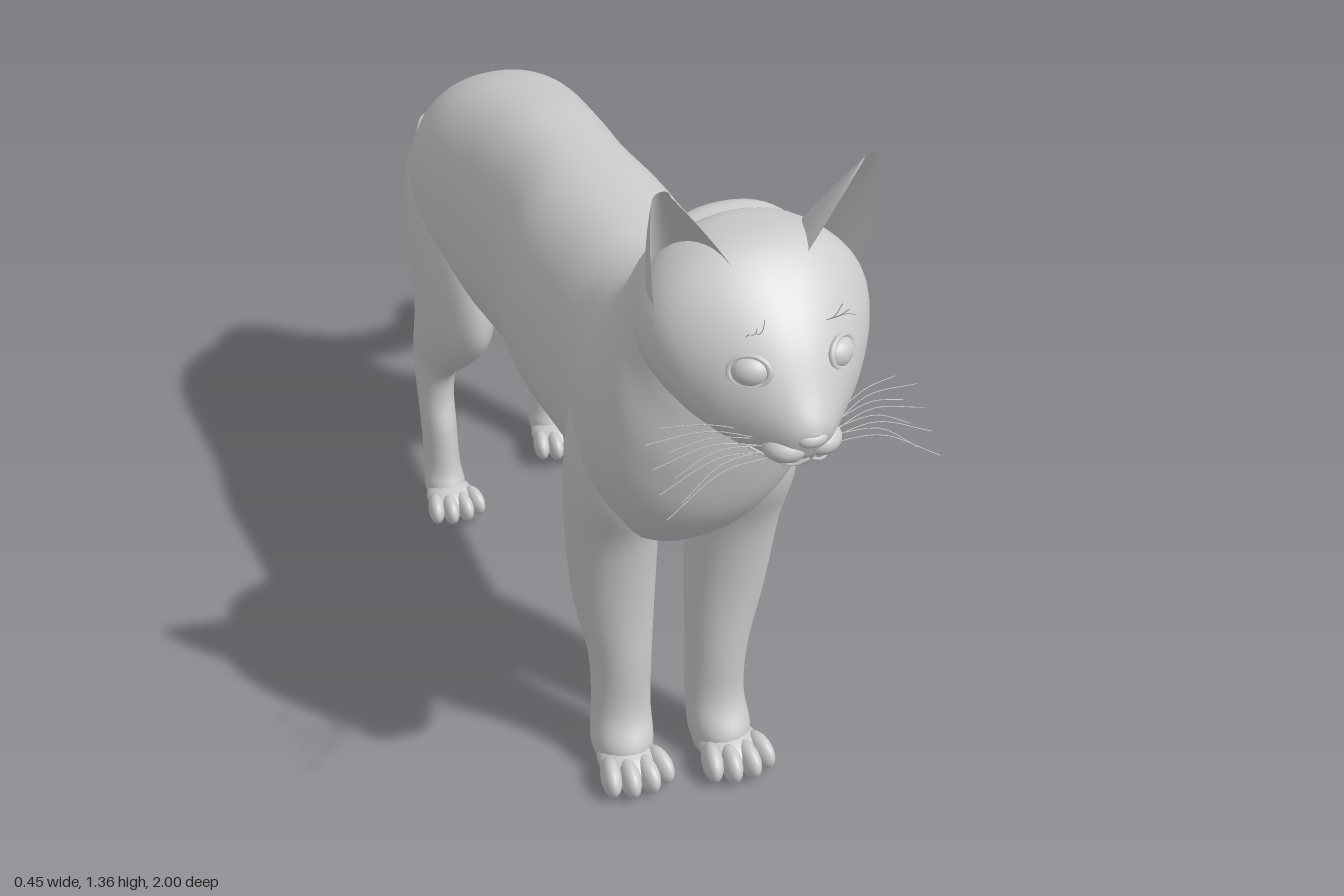
import * as THREE from 'three';

const material = new THREE.MeshStandardMaterial({ color: 0xcccccc });
const thinMaterial = new THREE.MeshStandardMaterial({ color: 0xcccccc, side: THREE.DoubleSide });
const V = (x, y, z) => new THREE.Vector3(x, y, z);

function add(parent, name, geometry, mat = material) {
  const mesh = new THREE.Mesh(geometry, mat);
  mesh.name = name;
  parent.add(mesh);
  return mesh;
}

function ellipsoid(parent, name, x, y, z, rx, ry, rz, turn = 0) {
  const mesh = add(parent, name, new THREE.SphereGeometry(1, 20, 14));
  mesh.position.set(x, y, z);
  mesh.scale.set(rx, ry, rz);
  mesh.rotation.y = turn;
  return mesh;
}

// Smooth skin through oval sections [x, zA, yA, zB, yB, halfWidth];
// A and B are the two ends of the oval's axis in the side plane.
function loft(sections, steps = 6, power = 1, around = 40) {
  const a = new THREE.CatmullRomCurve3(sections.map(s => V(s[0], s[2], s[1])), false, 'catmullrom');
  const b = new THREE.CatmullRomCurve3(sections.map(s => V(s[5], s[4], s[3])), false, 'catmullrom');
  const rows = (sections.length - 1) * steps;
  const pos = [], index = [];
  const bend = v => Math.sign(v) * Math.pow(Math.abs(v), power);
  for (let i = 0; i <= rows; i++) {
    const p = a.getPoint(i / rows), q = b.getPoint(i / rows);
    for (let j = 0; j < around; j++) {
      const t = j / around * Math.PI * 2;
      const c = bend(Math.cos(t)), s = bend(Math.sin(t));
      pos.push(p.x + q.x * c, (p.y + q.y) / 2 + (p.y - q.y) / 2 * s, (p.z + q.z) / 2 + (p.z - q.z) / 2 * s);
      if (i < rows) {
        const k = i * around + j, n = i * around + (j + 1) % around;
        index.push(k, n, n + around, k, n + around, k + around);
      }
    }
  }
  // End caps
  for (const [row, flip] of [[0, true], [rows, false]]) {
    const p = a.getPoint(row / rows), q = b.getPoint(row / rows);
    const centre = pos.length / 3;
    pos.push(p.x, (p.y + q.y) / 2, (p.z + q.z) / 2);
    for (let j = 0; j < around; j++) {
      const k = row * around + j, n = row * around + (j + 1) % around;
      index.push(centre, flip ? n : k, flip ? k : n);
    }
  }
  const g = new THREE.BufferGeometry();
  g.setAttribute('position', new THREE.Float32BufferAttribute(pos, 3));
  g.setIndex(index);
  g.computeVertexNormals();
  return g;
}

function thread(parent, name, points, radius) {
  add(parent, name, new THREE.TubeGeometry(new THREE.CatmullRomCurve3(points), 10, radius, 5));
}

// Cupped ear: arcs strung between an inner and an outer edge
function earGeometry(side) {
  const inner = new THREE.QuadraticBezierCurve3(V(0.05, 1.21, 0.82), V(0.10, 1.29, 0.82), V(0.155, 1.355, 0.8));
  const outer = new THREE.QuadraticBezierCurve3(V(0.165, 1.13, 0.78), V(0.19, 1.28, 0.8), V(0.182, 1.35, 0.795));
  const rows = 16, cols = 16, pos = [], index = [];
  for (let i = 0; i <= rows; i++) {
    const t = i / rows, p = inner.getPoint(t), q = outer.getPoint(t);
    for (let j = 0; j <= cols; j++) {
      const u = j / cols, c = p.clone().lerp(q, (1 - Math.cos(u * Math.PI)) / 2);
      const bulge = Math.sin(u * Math.PI) * (1 - t);
      pos.push(side * c.x, c.y + 0.012 * Math.sin(u * Math.PI) * t, c.z - 0.12 * bulge);
      if (i < rows && j < cols) {
        const k = i * (cols + 1) + j, m = k + cols + 1;
        if (side > 0) index.push(k, k + 1, m + 1, k, m + 1, m);
        else index.push(k, m + 1, k + 1, k, m, m + 1);
      }
    }
  }
  const g = new THREE.BufferGeometry();
  g.setAttribute('position', new THREE.Float32BufferAttribute(pos, 3));
  g.setIndex(index);
  g.computeVertexNormals();
  return g;
}

// Paw: pad with four toes
function paw(parent, x, y, z, size) {
  const g = new THREE.Group();
  g.name = 'paw';
  ellipsoid(g, 'pad', 0, 0.036, -0.045, 0.056, 0.034, 0.065);
  [-0.047, -0.017, 0.017, 0.047].forEach(dx => {
    const back = Math.abs(dx) > 0.03 ? 0.014 : 0;
    ellipsoid(g, 'toe', dx, 0.034, 0.005 - back, 0.019, 0.033, 0.042, dx * 4);
  });
  g.position.set(x, y, z);
  g.scale.setScalar(size);
  parent.add(g);
}

export function createModel() {
  const cat = new THREE.Group();
  cat.name = 'cat';

  // Trunk from rump to neck
  add(cat, 'body', loft([
    [0, -0.56, 0.80, -0.557, 0.68, 0.04], [0, -0.53, 0.87, -0.53, 0.59, 0.11],
    [0, -0.45, 0.945, -0.45, 0.55, 0.162], [0, -0.33, 1.0, -0.33, 0.53, 0.182],
    [0, -0.15, 1.033, -0.15, 0.53, 0.166], [0, 0, 1.04, 0, 0.535, 0.158],
    [0, 0.15, 1.04, 0.15, 0.53, 0.174], [0, 0.3, 1.035, 0.3, 0.525, 0.166],
    [0, 0.4, 1.03, 0.43, 0.52, 0.165], [0, 0.47, 1.04, 0.56, 0.53, 0.19],
    [0, 0.53, 1.075, 0.665, 0.64, 0.2], [0, 0.57, 1.13, 0.715, 0.77, 0.185],
    [0, 0.60, 1.19, 0.735, 0.88, 0.163], [0, 0.645, 1.235, 0.745, 0.95, 0.15],
    [0, 0.70, 1.23, 0.77, 0.99, 0.13],
  ], 6, 0.9, 56));

  // Tail sweeping down and to one side: [x, y, z, radius]
  const tail = [[0, 0.86, -0.46, 0.05], [0, 0.80, -0.545, 0.068], [0, 0.70, -0.605, 0.057],
    [0.015, 0.57, -0.65, 0.05], [0.04, 0.44, -0.705, 0.047], [0.07, 0.33, -0.775, 0.045],
    [0.1, 0.25, -0.85, 0.042], [0.122, 0.213, -0.92, 0.04], [0.135, 0.218, -0.97, 0.035], [0.14, 0.224, -0.998, 0.012]];
  add(cat, 'tail', loft(tail.map(([x, y, z, r], i) => {
    const p = tail[Math.max(i - 1, 0)], n = tail[Math.min(i + 1, tail.length - 1)];
    const len = Math.hypot(n[1] - p[1], n[2] - p[2]);
    const uy = (n[2] - p[2]) / len * r, uz = -(n[1] - p[1]) / len * r;
    return [x, z + uz, y + uy, z - uz, y - uy, r];
  }), 6, 1, 24));

  for (const side of [1, -1]) {
    // Front leg, the right one set slightly back
    const back = side > 0 ? 0 : -0.03;
    add(cat, 'frontLeg', loft([
      [0.125, 0.62, 0.86, 0.46, 0.90, 0.045], [0.118, 0.645, 0.68, 0.43, 0.70, 0.078],
      [0.108, 0.60, 0.54, 0.42, 0.51, 0.08], [0.1, 0.575, 0.38, 0.435, 0.37, 0.073],
      [0.088, 0.567, 0.24, 0.45, 0.24, 0.057], [0.086, 0.565, 0.13, 0.458, 0.13, 0.054],
      [0.09, 0.595, 0.065, 0.46, 0.05, 0.056], [0.09, 0.58, 0.01, 0.475, 0.01, 0.045],
    ].map(([x, zA, yA, zB, yB, w]) => [x * side, zA + back, yA, zB + back, yB, w])));
    paw(cat, 0.093 * side, 0, 0.61 + back, 1);

    // Hind leg, the right one stepping forward
    const step = (z, y) => z + (side > 0 ? 0 : 0.135 * THREE.MathUtils.smoothstep(0.75 - y, 0, 0.55));
    add(cat, 'hindLeg', loft([
      [0.11, -0.28, 0.86, -0.49, 0.86, 0.04], [0.118, -0.19, 0.67, -0.535, 0.72, 0.068],
      [0.122, -0.22, 0.51, -0.52, 0.57, 0.066], [0.128, -0.35, 0.405, -0.53, 0.48, 0.055],
      [0.135, -0.45, 0.335, -0.568, 0.40, 0.043], [0.14, -0.477, 0.27, -0.59, 0.32, 0.037],
      [0.142, -0.465, 0.2, -0.575, 0.2, 0.035], [0.142, -0.455, 0.11, -0.553, 0.11, 0.036],
      [0.142, -0.44, 0.07, -0.54, 0.055, 0.041], [0.142, -0.445, 0.022, -0.525, 0.022, 0.034],
    ].map(([x, zA, yA, zB, yB, w]) => [x * side, step(zA, yA), yA, step(zB, yB), yB, w])));
    paw(cat, 0.142 * side, 0.018, step(-0.415, 0), 0.88);
  }

  // Head
  const head = new THREE.Group();
  head.name = 'head';
  cat.add(head);
  add(head, 'skull', loft([
    [0, 0.65, 1.20, 0.67, 1.0, 0.11], [0, 0.68, 1.238, 0.70, 0.98, 0.155],
    [0, 0.73, 1.25, 0.745, 0.965, 0.18], [0, 0.79, 1.25, 0.79, 0.96, 0.182],
    [0, 0.84, 1.225, 0.84, 0.95, 0.163], [0, 0.89, 1.182, 0.89, 0.945, 0.127],
    [0, 0.93, 1.135, 0.925, 0.948, 0.09], [0, 0.965, 1.08, 0.955, 0.96, 0.057],
    [0, 0.988, 1.045, 0.975, 0.975, 0.034], [0, 0.996, 1.025, 0.985, 0.995, 0.012],
  ], 6, 0.95, 48));
  ellipsoid(head, 'chin', 0, 0.963, 0.935, 0.04, 0.02, 0.03);
  const nose = ellipsoid(head, 'nose', 0, 1.014, 0.984, 0.024, 0.014, 0.016);
  nose.rotation.x = -0.3;
  thread(head, 'philtrum', [V(0, 1.005, 0.998), V(0, 0.992, 0.994), V(0, 0.978, 0.982)], 0.002);

  for (const side of [1, -1]) {
    add(head, 'ear', earGeometry(side), thinMaterial);
    ellipsoid(head, 'cheekPuff', 0.027 * side, 0.99, 0.95, 0.037, 0.025, 0.037);

    // Eye with its lid rim
    const eye = new THREE.Group();
    eye.name = 'eye';
    eye.position.set(0.072 * side, 1.108, 0.914);
    eye.rotation.set(-0.3, 0.6 * side, 0.12 * side);
    ellipsoid(eye, 'eyeball', 0, 0, 0, 0.03, 0.024, 0.021);
    const lid = add(eye, 'eyelid', new THREE.TorusGeometry(0.031, 0.005, 8, 28));
    lid.scale.y = 0.78;
    lid.position.z = 0.006;
    head.add(eye);

    thread(head, 'mouthLine', [V(0, 0.978, 0.982), V(0.025 * side, 0.967, 0.975),
      V(0.055 * side, 0.972, 0.945), V(0.078 * side, 0.98, 0.915)], 0.0025);

    // Whiskers and brow hairs
    for (let i = 0; i < 8; i++) {
      const f = i / 7, row = i % 2;
      thread(head, 'whisker', [V(0.045 * side, 0.975 + 0.03 * f, 0.955 - 0.012 * row),
        V(0.13 * side, 0.972 + 0.045 * f, 0.96 - 0.06 * f),
        V((0.225 - 0.03 * row) * side, 0.92 + 0.09 * f, 0.975 - 0.1 * f)], 0.0008);
    }
    for (let i = 0; i < 3; i++) {
      thread(head, 'browHair', [V((0.055 + 0.008 * i) * side, 1.15, 0.89),
        V((0.058 + 0.01 * i) * side, 1.175, 0.92), V((0.062 + 0.012 * i) * side, 1.205 - 0.012 * i, 0.935)], 0.0007);
    }
  }
  return cat;
}
